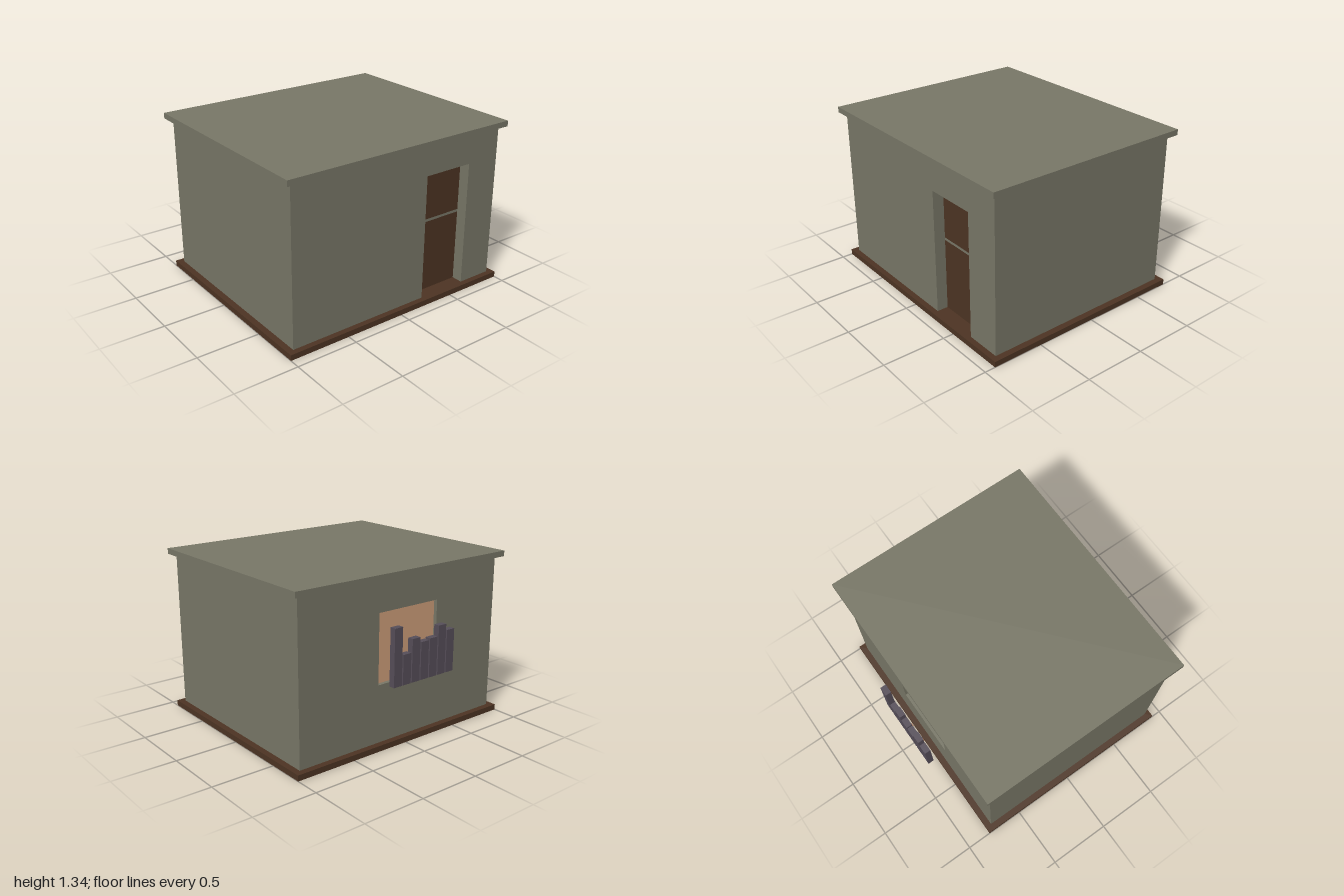
import * as THREE from 'three';

const flat = (name, color) => new THREE.MeshStandardMaterial({ name, color });

export function createModel() {
  const model = new THREE.Group();
  model.name = 'hut';
  const plaster = flat('plaster', 0x787767);
  const darkWood = flat('darkWood', 0x4d3423);
  const tan = flat('tan', 0xd0a07c);
  const plankGrey = flat('plankGrey', 0x564e59);
  const nailBrown = flat('nailBrown', 0xb07850);

  // Box given by its minimum and maximum corners
  const box = (name, material, x0, x1, y0, y1, z0, z1, parent = model) => {
    const mesh = new THREE.Mesh(new THREE.BoxGeometry(x1 - x0, y1 - y0, z1 - z0), material);
    mesh.name = name;
    mesh.position.set((x0 + x1) / 2, (y0 + y1) / 2, (z0 + z1) / 2);
    parent.add(mesh);
    return mesh;
  };

  const FLOOR = 0.045, EAVES = 1.29, SIDE = 0.95, FRONT = 0.87, BACK = -0.75, THICK = 0.09;

  // Floor slab and flat roof
  box('floorSlab', darkWood, -1, 1, 0, FLOOR, -0.8, 0.915);
  box('roofSlab', plaster, -1, 1, EAVES, 1.335, -0.8, 0.915);

  // Side walls between the front and back walls
  for (const s of [-1, 1]) {
    const inner = s * (SIDE - THICK), outer = s * SIDE;
    box(s > 0 ? 'leftWall' : 'rightWall', plaster, Math.min(inner, outer), Math.max(inner, outer),
      FLOOR, EAVES, BACK + THICK, FRONT - THICK);
  }

  const wall = (name, shape, z) => {
    const mesh = new THREE.Mesh(
      new THREE.ExtrudeGeometry(shape, { depth: THICK, bevelEnabled: false }), plaster);
    mesh.name = name;
    mesh.position.z = z;
    model.add(mesh);
  };
  const points = (list) => list.map(([x, y]) => new THREE.Vector2(x, y));

  // Front wall with a doorway cut from the floor up
  wall('frontWall', new THREE.Shape(points([
    [-SIDE, FLOOR], [0.24, FLOOR], [0.24, 1.05], [0.66, 1.05],
    [0.66, FLOOR], [SIDE, FLOOR], [SIDE, EAVES], [-SIDE, EAVES],
  ])), FRONT - THICK);

  // Back wall with a window hole
  const backShape = new THREE.Shape(points([
    [-SIDE, FLOOR], [SIDE, FLOOR], [SIDE, EAVES], [-SIDE, EAVES],
  ]));
  backShape.holes.push(new THREE.Path(points([
    [-0.33, 0.5], [-0.33, 1.045], [0.24, 1.045], [0.24, 0.5],
  ])));
  wall('backWall', backShape, BACK);

  // Two door leaves with a bar between them, set behind the doorway
  const door = new THREE.Group();
  door.name = 'door';
  model.add(door);
  box('lowerDoorLeaf', darkWood, 0.24, 0.66, FLOOR, 0.627, 0.745, 0.78, door);
  box('doorBar', plaster, 0.24, 0.66, 0.627, 0.648, 0.745, 0.78, door);
  box('upperDoorLeaf', darkWood, 0.24, 0.66, 0.648, 1.005, 0.745, 0.78, door);
  box('doorBracket', darkWood, 0.24, 0.355, 1.005, 1.05, 0.745, 0.78, door);

  // Window panel
  box('windowPanel', tan, -0.33, 0.24, 0.5, 1.045, -0.72, -0.7);

  // Loose planks standing off the window, uneven at the top
  const shutter = new THREE.Group();
  shutter.name = 'plankShutter';
  model.add(shutter);
  [0.97, 0.76, 0.86, 0.82, 0.83, 0.91, 0.86].forEach((top, i) => {
    const x = 0.242 - i * 0.0858;
    box('plank', plankGrey, x - 0.075, x, 0.53, top, -0.918, -0.87, shutter);
  });

  // Nail ends on the inner face of the planks
  [[-0.29, 0.58], [-0.24, 0.82], [-0.2, 0.67], [-0.12, 0.6], [-0.075, 0.76],
    [0.04, 0.67], [0.105, 0.67], [0.125, 0.6], [0.215, 0.8]].forEach(([x, y]) => {
    box('nail', nailBrown, x - 0.01, x + 0.01, y - 0.01, y + 0.01, -0.872, -0.861, shutter);
  });

  return model;
}
